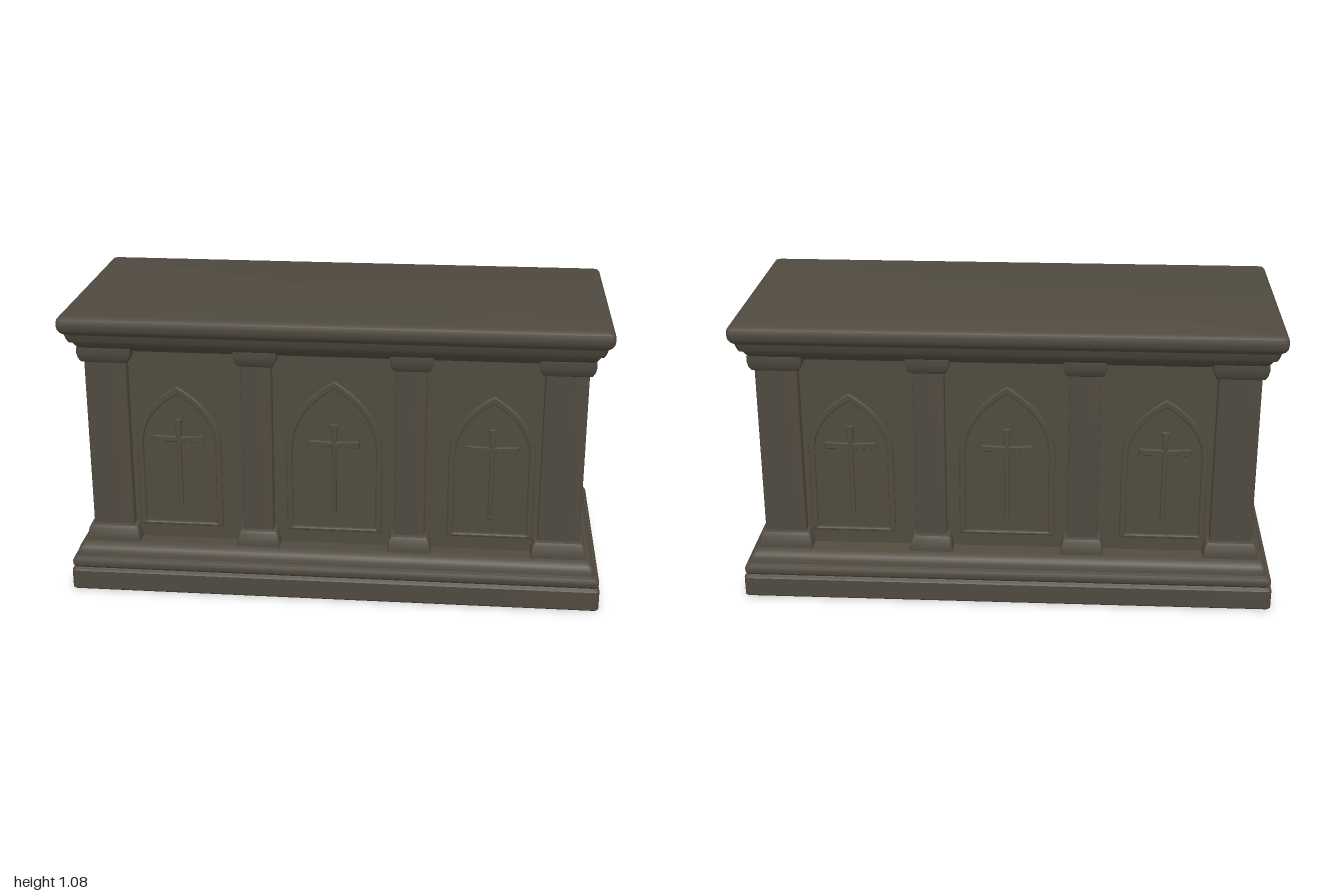
import * as THREE from 'three';
import { toCreasedNormals } from 'three/addons/utils/BufferGeometryUtils.js';

const stone = new THREE.MeshStandardMaterial({ color: 0x504a3f });
stone.name = 'dark stone';

function add(parent, name, geometry, x = 0, y = 0, z = 0) {
  const mesh = new THREE.Mesh(geometry, stone);
  mesh.name = name;
  mesh.position.set(x, y, z);
  parent.add(mesh);
  return mesh;
}

// Stack of rounded rectangles; each section is [half width, half depth, y]
function loft(sections, radius) {
  const steps = 3, n = 4 * (steps + 1), pos = [], index = [];
  const signs = [[1, 1], [-1, 1], [-1, -1], [1, -1]];
  for (const [w, d, y] of sections) {
    signs.forEach(([sx, sz], c) => {
      for (let k = 0; k <= steps; k++) {
        const t = (c + k / steps) * Math.PI / 2;
        pos.push(sx * (w - radius) + radius * Math.cos(t), y, sz * (d - radius) + radius * Math.sin(t));
      }
    });
  }
  const last = sections.length - 1;
  for (let j = 0; j < last; j++) {
    for (let i = 0; i < n; i++) {
      const a = j * n + i, b = j * n + (i + 1) % n;
      index.push(a, a + n, b, b, a + n, b + n);
    }
  }
  for (let i = 1; i < n - 1; i++) {
    index.push(0, i, i + 1);
    index.push(last * n, last * n + i + 1, last * n + i);
  }
  const g = new THREE.BufferGeometry();
  g.setAttribute('position', new THREE.Float32BufferAttribute(pos, 3));
  g.setIndex(index);
  return toCreasedNormals(g, 0.6);
}

// Moulding running round the whole block: profile of [half depth, y]
const moulding = (profile) => loft(profile.map(([d, y]) => [d + 0.555, d, y]), 0.014);

// Pier with a spreading foot and capital
function pier(w, d) {
  const profile = [[0.024, 0.17], [0.024, 0.195], [0.018, 0.23], [0.012, 0.242], [0, 0.246],
    [0, 0.895], [0.01, 0.9], [0.018, 0.915], [0.022, 0.935], [0.022, 0.955]];
  return loft(profile.map(([o, y]) => [w + o, d + o, y]), 0.006);
}

function archPath(path, w, base, spring, apex) {
  const h = apex - spring;
  path.moveTo(-w, base);
  path.lineTo(w, base);
  path.lineTo(w, spring);
  path.bezierCurveTo(w, spring + h * 0.5, w * 0.5, apex - h * 0.2, 0, apex);
  path.bezierCurveTo(-w * 0.5, apex - h * 0.2, -w, spring + h * 0.5, -w, spring);
  path.closePath();
  return path;
}

// Raised pointed-arch border
function archFrame(w, base, spring, apex) {
  const shape = archPath(new THREE.Shape(), w, base, spring, apex);
  shape.holes.push(archPath(new THREE.Path(), w - 0.024, base + 0.016, spring, apex - 0.034));
  return new THREE.ExtrudeGeometry(shape, {
    depth: 0.004, bevelEnabled: true, bevelThickness: 0.007, bevelSize: 0.006,
    bevelOffset: -0.006, bevelSegments: 2, curveSegments: 14,
  });
}

function cross() {
  const s = new THREE.Shape();
  const a = 0.009, arm = 0.095;
  [[-a, 0.31], [a, 0.31], [a, 0.58], [arm, 0.576], [arm, 0.604], [a, 0.6], [0.014, 0.67],
    [-0.014, 0.67], [-a, 0.6], [-arm, 0.604], [-arm, 0.576], [-a, 0.58]]
    .forEach(([x, y], i) => (i ? s.lineTo(x, y) : s.moveTo(x, y)));
  return new THREE.ExtrudeGeometry(s, {
    depth: 0.007, bevelEnabled: true, bevelThickness: 0.005, bevelSize: 0.003, bevelOffset: -0.003, bevelSegments: 1,
  });
}

// Long face: three arches with crosses
function longFace() {
  const g = new THREE.Group();
  for (const x of [-0.585, 0, 0.585]) {
    const middle = x === 0;
    add(g, 'archFrame', archFrame(middle ? 0.18 : 0.16, 0.235, 0.56, middle ? 0.84 : 0.8), x);
    add(g, 'cross', cross(), x);
  }
  return g;
}

// Short face: one arch with two tapered candles
function shortFace() {
  const g = new THREE.Group();
  add(g, 'archFrame', archFrame(0.185, 0.225, 0.57, 0.86));
  for (const x of [-0.062, 0.062]) {
    add(g, 'candle', new THREE.CylinderGeometry(0.014, 0.01, 0.32, 12), x, 0.43, 0.004);
    add(g, 'candleTop', new THREE.CylinderGeometry(0.017, 0.014, 0.02, 12), x, 0.592, 0.004);
  }
  return g;
}

export function createModel() {
  const model = new THREE.Group();
  model.name = 'stoneAltar';

  // Stepped plinth, recessed body and cornice slab
  add(model, 'plinth', moulding([[0.441, 0], [0.445, 0.005], [0.445, 0.076], [0.439, 0.083], [0.434, 0.088],
    [0.441, 0.097], [0.442, 0.112], [0.436, 0.126], [0.424, 0.132], [0.422, 0.15], [0.416, 0.165],
    [0.402, 0.178], [0.39, 0.183]]));
  add(model, 'body', new THREE.BoxGeometry(1.77, 0.86, 0.66), 0, 0.57, 0);
  add(model, 'cornice', moulding([[0.362, 0.94], [0.376, 0.945], [0.392, 0.965], [0.4, 0.978], [0.41, 0.982],
    [0.416, 0.995], [0.421, 1.013], [0.432, 1.022], [0.44, 1.035], [0.443, 1.055], [0.44, 1.073],
    [0.433, 1.081], [0.424, 1.084]]));

  // Corner piers and the slimmer piers between panels
  for (const sx of [-1, 1]) {
    for (const sz of [-1, 1]) {
      add(model, 'cornerPier', pier(0.078, 0.0725), sx * 0.842, 0, sz * 0.2945);
      add(model, 'middlePier', pier(0.057, 0.045), sx * 0.285, 0, sz * 0.322);
    }
  }

  // Carved panels on all four sides
  for (const s of [1, -1]) {
    const long = longFace();
    long.name = s > 0 ? 'frontPanels' : 'backPanels';
    long.position.z = s * 0.329;
    long.rotation.y = s > 0 ? 0 : Math.PI;
    const short = shortFace();
    short.name = s > 0 ? 'leftPanel' : 'rightPanel';
    short.position.x = s * 0.884;
    short.rotation.y = s * Math.PI / 2;
    model.add(long, short);
  }
  return model;
}
